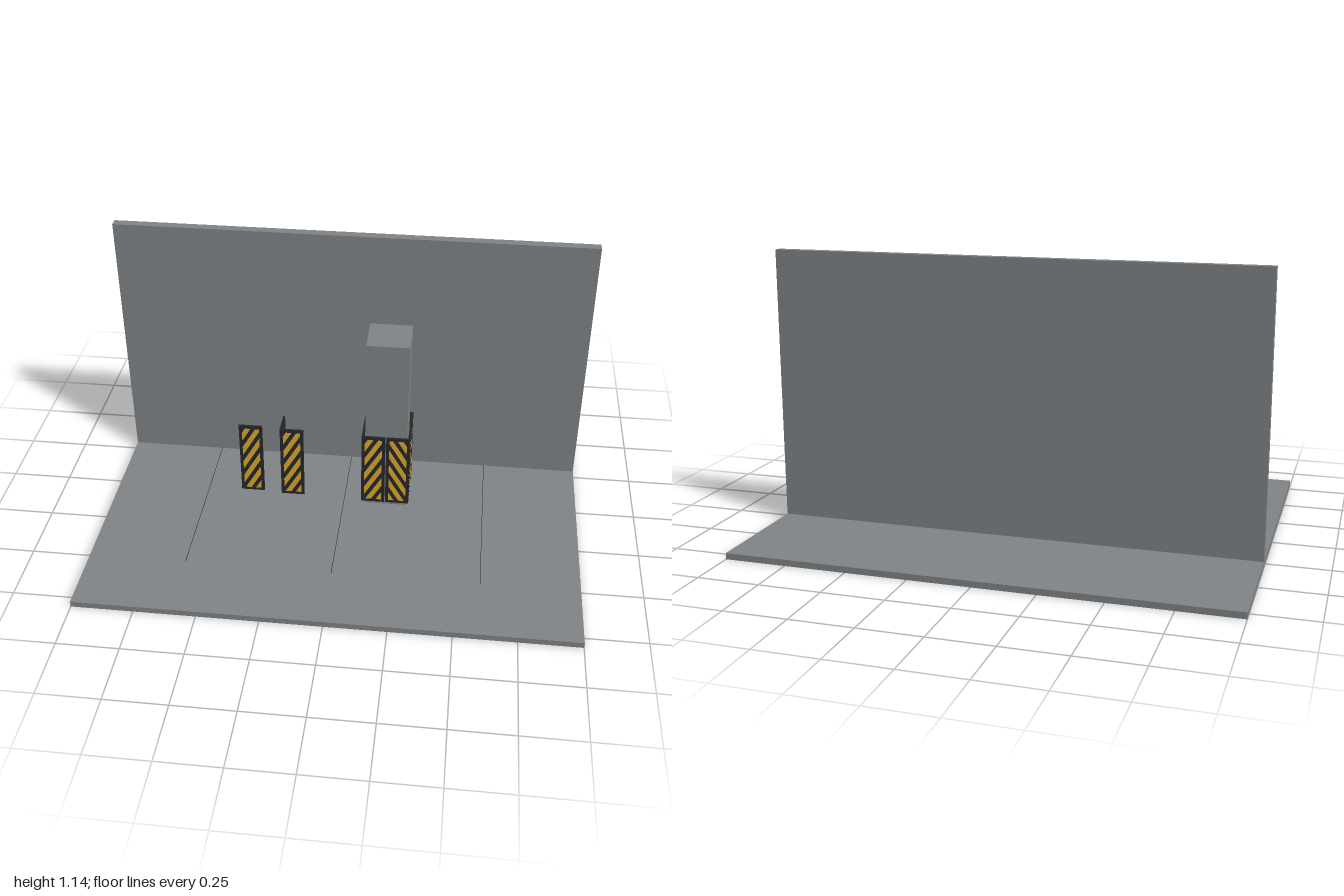
import * as THREE from 'three';

const mat = (name, color) => Object.assign(new THREE.MeshStandardMaterial({ color }), { name });

export function createModel() {
  const model = new THREE.Group();
  model.name = 'parkingBayGuards';
  const concrete = mat('concrete grey', 0x808588);
  const rubber = mat('rubber black', 0x26282c);
  const yellow = mat('warning yellow', 0xdcaa2c);

  // box given by its min and max corners
  function box(name, material, a, b, parent = model) {
    const mesh = new THREE.Mesh(new THREE.BoxGeometry(b[0] - a[0], b[1] - a[1], b[2] - a[2]), material);
    mesh.position.set((a[0] + b[0]) / 2, (a[1] + b[1]) / 2, (a[2] + b[2]) / 2);
    mesh.name = name;
    parent.add(mesh);
    return mesh;
  }

  // ground, back wall and pillar
  const cx = 0.178, cz = -0.031, half = 0.088;
  box('floor', concrete, [-1, 0, -0.8], [1, 0.025, 0.8]);
  box('wall', concrete, [-1, 0.025, -0.3], [1, 1.145, -0.262]);
  box('pillar', concrete, [cx - half, 0.025, cz - half], [cx + half, 0.825, cz + half]);

  // hairline bay markings on the floor
  for (const x of [-0.6, 0, 0.6]) {
    box('bayLine', rubber, [x - 0.001, 0.025, -0.262], [x + 0.001, 0.026, 0.52]);
  }

  // slanted stripes clipped to a w by h rectangle, mirrored when dir is -1
  const W = 0.1, H = 0.34, T = 0.009, RIM = 0.013;
  function stripeShapes(dir) {
    const w = W - 2 * RIM, h = H - 2 * RIM, slope = 1.7, period = 0.075, band = 0.042;
    const shapes = [];
    for (let c = -slope * w; c < h; c += period) {
      const x0 = Math.max(0, -(c + band) / slope), x1 = Math.min(w, (h - c) / slope);
      if (x1 - x0 < 0.002) continue;
      const low = x => [x, Math.max(0, slope * x + c)];
      const high = x => [x, Math.min(h, slope * x + c + band)];
      const inside = x => x > x0 && x < x1;
      const lowBend = -c / slope, highBend = (h - c - band) / slope;
      const pts = [low(x0)];
      if (inside(lowBend)) pts.push(low(lowBend));
      pts.push(low(x1), high(x1));
      if (inside(highBend)) pts.push(high(highBend));
      pts.push(high(x0));
      shapes.push(new THREE.Shape(pts.map(([x, y]) => new THREE.Vector2(dir * (x + RIM), y + RIM))));
    }
    return shapes;
  }

  // one guard plate facing +z, running from x = 0 towards dir
  function panel(dir) {
    const g = new THREE.Group();
    g.name = 'guardPanel';
    box('rubberPlate', rubber, [Math.min(0, dir * W), 0, -T], [Math.max(0, dir * W), H, 0], g);
    const stripes = new THREE.Mesh(new THREE.ShapeGeometry(stripeShapes(dir)), yellow);
    stripes.name = 'warningStripes';
    stripes.position.z = 0.001;
    g.add(stripes);
    return g;
  }

  // two plates meeting at the front left edge
  function cornerGuard() {
    const g = new THREE.Group();
    g.name = 'cornerGuard';
    const wing = panel(-1);
    wing.rotation.y = -Math.PI / 2;
    g.add(panel(1), wing);
    return g;
  }

  const base = 0.045;
  const flat = panel(1);
  flat.name = 'flatGuard';
  flat.position.set(-0.45, base, 0.048);
  const loose = cornerGuard();
  loose.position.set(-0.273, base, 0.058);
  model.add(flat, loose);

  // four corner guards wrapped round the pillar
  for (let k = 0; k < 4; k++) {
    const turn = new THREE.Group();
    turn.name = 'pillarGuard';
    turn.position.set(cx, base, cz);
    turn.rotation.y = k * Math.PI / 2;
    const guard = cornerGuard();
    guard.position.set(-0.102, 0, 0.102);
    turn.add(guard);
    model.add(turn);
  }
  return model;
}
